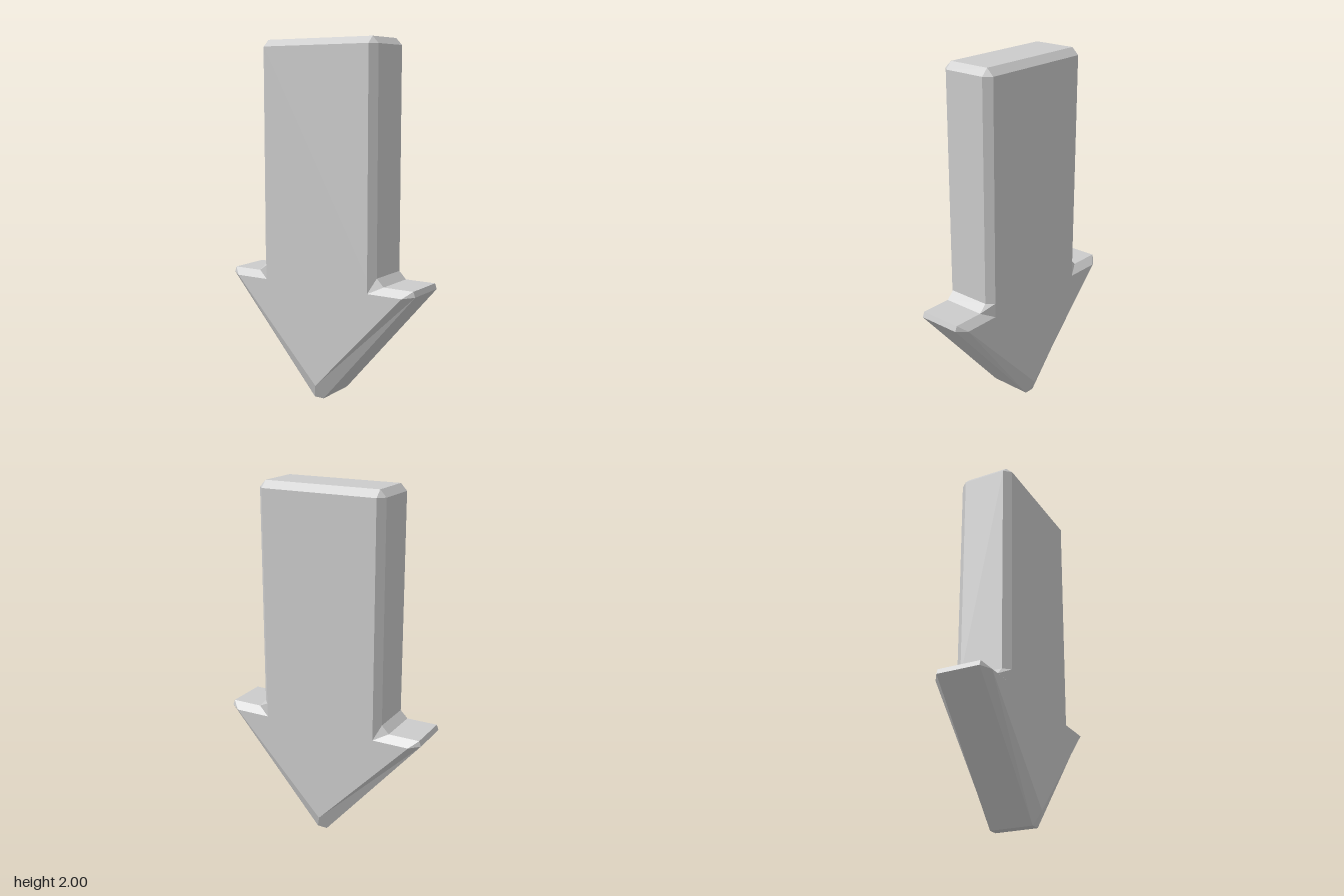
import * as THREE from 'three';

// Right half of the outline, bottom to top: [outer x, outer y, inner x, inner y]
const HALF = [
  [0.03, 0, 0, 0.08],          // blunt tip
  [0.605, 0.66, 0.547, 0.652], // barb
  [0.594, 0.69, 0.547, 0.652],
  [0.415, 0.69, 0.337, 0.652], // notch between head and shaft
  [0.373, 0.733, 0.337, 0.733],
  [0.373, 1.962, 0.337, 1.962], // top corner
  [0.337, 2, 0.337, 1.962],
];
const RIM_Z = 0.122, FACE_Z = 0.162;

export function createModel() {
  const group = new THREE.Group();
  const grey = new THREE.MeshStandardMaterial({ color: 0xcccccc });
  grey.name = 'light grey';

  // Full counter-clockwise outline, mirrored across x = 0
  const outline = [...HALF, ...HALF.map(([a, b, c, d]) => [-a, b, -c, d]).reverse()];
  const rings = [
    outline.map(p => [p[2], p[3], FACE_Z]),
    outline.map(p => [p[0], p[1], RIM_Z]),
    outline.map(p => [p[0], p[1], -RIM_Z]),
    outline.map(p => [p[2], p[3], -FACE_Z]),
  ];

  // Skin between two neighbouring rings, skipping collapsed triangles
  const addSkin = (name, front, back) => {
    const pos = [];
    const same = (a, b) => a.every((v, i) => Math.abs(v - b[i]) < 1e-6);
    const tri = (a, b, c) => {
      if (!same(a, b) && !same(b, c) && !same(a, c)) pos.push(...a, ...b, ...c);
    };
    front.forEach((f0, i) => {
      const j = (i + 1) % front.length;
      tri(f0, back[i], back[j]);
      tri(f0, back[j], front[j]);
    });
    const geo = new THREE.BufferGeometry();
    geo.setAttribute('position', new THREE.Float32BufferAttribute(pos, 3));
    geo.computeVertexNormals();
    const mesh = new THREE.Mesh(geo, grey);
    mesh.name = name;
    group.add(mesh);
  };
  addSkin('frontBevel', rings[0], rings[1]);
  addSkin('rim', rings[1], rings[2]);
  addSkin('backBevel', rings[2], rings[3]);

  // Flat arrow faces
  const pts = rings[0]
    .map(p => new THREE.Vector2(p[0], p[1]))
    .filter((p, i, all) => !p.equals(all[(i + 1) % all.length]));
  const face = new THREE.ShapeGeometry(new THREE.Shape(pts));
  for (const side of [1, -1]) {
    const mesh = new THREE.Mesh(face, grey);
    mesh.name = side > 0 ? 'frontFace' : 'backFace';
    mesh.position.z = side * FACE_Z;
    if (side < 0) mesh.rotation.y = Math.PI;
    group.add(mesh);
  }
  return group;
}
